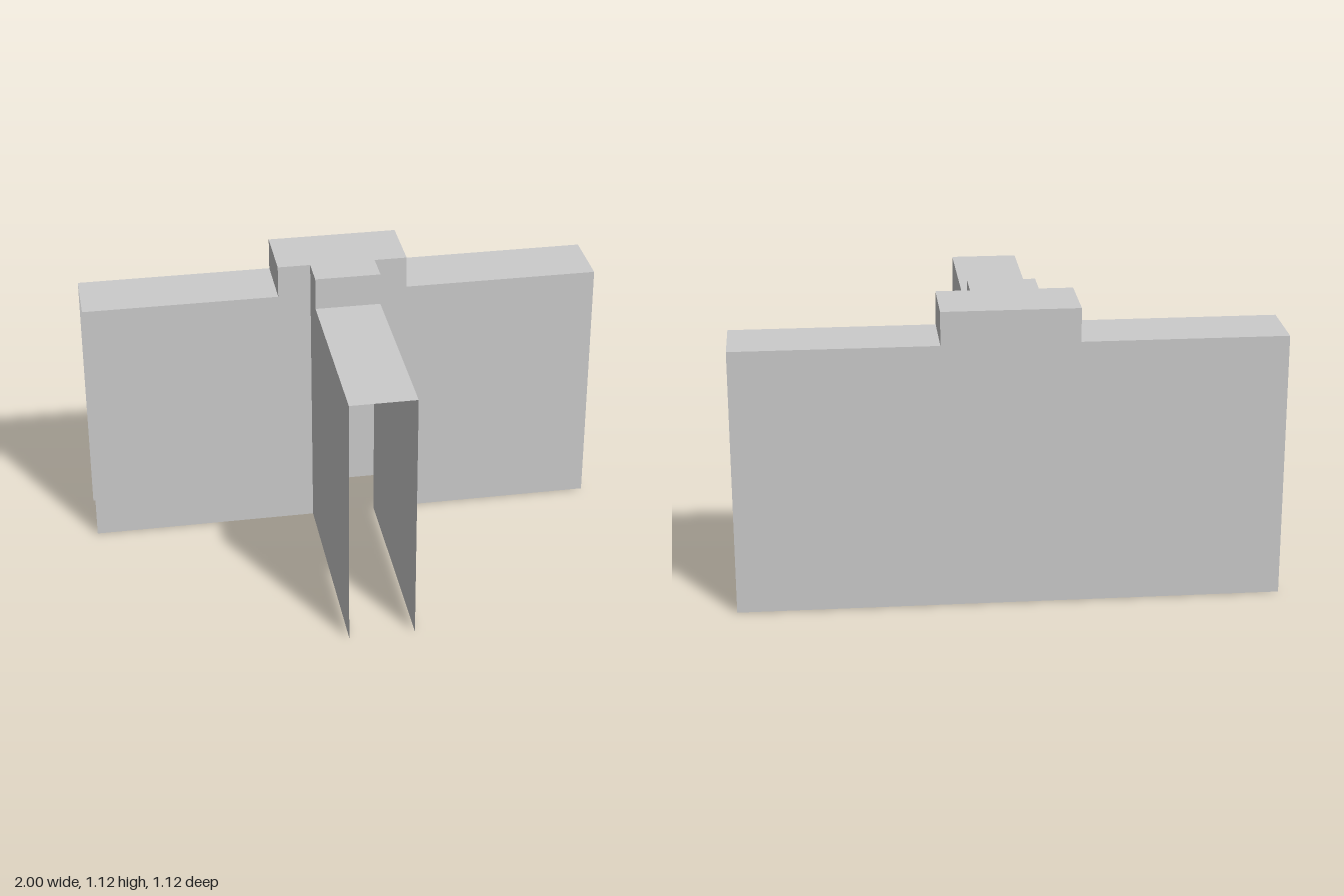
import * as THREE from 'three';

const material = new THREE.MeshStandardMaterial({ color: 0xcccccc, side: THREE.DoubleSide, flatShading: true });

// key positions
const END = 1, STEP = 0.25, STEM = 0.125;                  // half widths in x
const WALL = 1, CAP = 1.125;                               // heights in y
const BACK = -0.5625, FACE = -0.3125, LIP = -0.1875, FRONT = 0.5625; // depths in z

export function createModel() {
  const group = new THREE.Group();

  // flat sheet from an outline, turned and then placed
  const sheet = (name, points, rotation, position) => {
    const shape = new THREE.Shape(points.map(([x, y]) => new THREE.Vector2(x, y)));
    const mesh = new THREE.Mesh(new THREE.ShapeGeometry(shape), material);
    mesh.name = name;
    mesh.rotation.set(...rotation);
    mesh.position.set(...position);
    group.add(mesh);
  };
  const rect = (a, b, c, d) => [[a, b], [c, b], [c, d], [a, d]];
  const up = [-Math.PI / 2, 0, 0]; // outline y becomes -z

  // long back wall with its raised middle
  sheet('backWall', [[-END, 0], [END, 0], [END, WALL], [STEP, WALL], [STEP, CAP],
    [-STEP, CAP], [-STEP, WALL], [-END, WALL]], [0, Math.PI, 0], [0, 0, BACK]);

  // mirrored walls and tops, open at the ends and below
  for (const s of [1, -1]) {
    const side = s > 0 ? 'left' : 'right';
    const turn = [0, s * Math.PI / 2, 0]; // outline x becomes -s * z
    sheet(side + 'FrontWall', [[s * STEM, 0], [s * END, 0], [s * END, WALL], [s * STEP, WALL],
      [s * STEP, CAP], [s * STEM, CAP]], [0, 0, 0], [0, 0, FACE]);
    sheet(side + 'StemWall', [[FRONT, 0], [FACE, 0], [FACE, CAP], [LIP, CAP], [LIP, WALL], [FRONT, WALL]]
      .map(([z, y]) => [-s * z, y]), turn, [s * STEM, 0, 0]);
    sheet(side + 'CapSide', rect(-s * BACK, WALL, -s * FACE, CAP), turn, [s * STEP, 0, 0]);
    sheet(side + 'WingTop', rect(s * STEP, -FACE, s * END, -BACK), up, [0, WALL, 0]);
  }

  // stem top, and the raised T-shaped cap
  sheet('stemTop', rect(-STEM, -FRONT, STEM, -LIP), up, [0, WALL, 0]);
  sheet('capFront', rect(-STEM, WALL, STEM, CAP), [0, 0, 0], [0, 0, LIP]);
  sheet('capTop', [[-STEM, -LIP], [STEM, -LIP], [STEM, -FACE], [STEP, -FACE], [STEP, -BACK],
    [-STEP, -BACK], [-STEP, -FACE], [-STEM, -FACE]], up, [0, CAP, 0]);

  return group;
}
